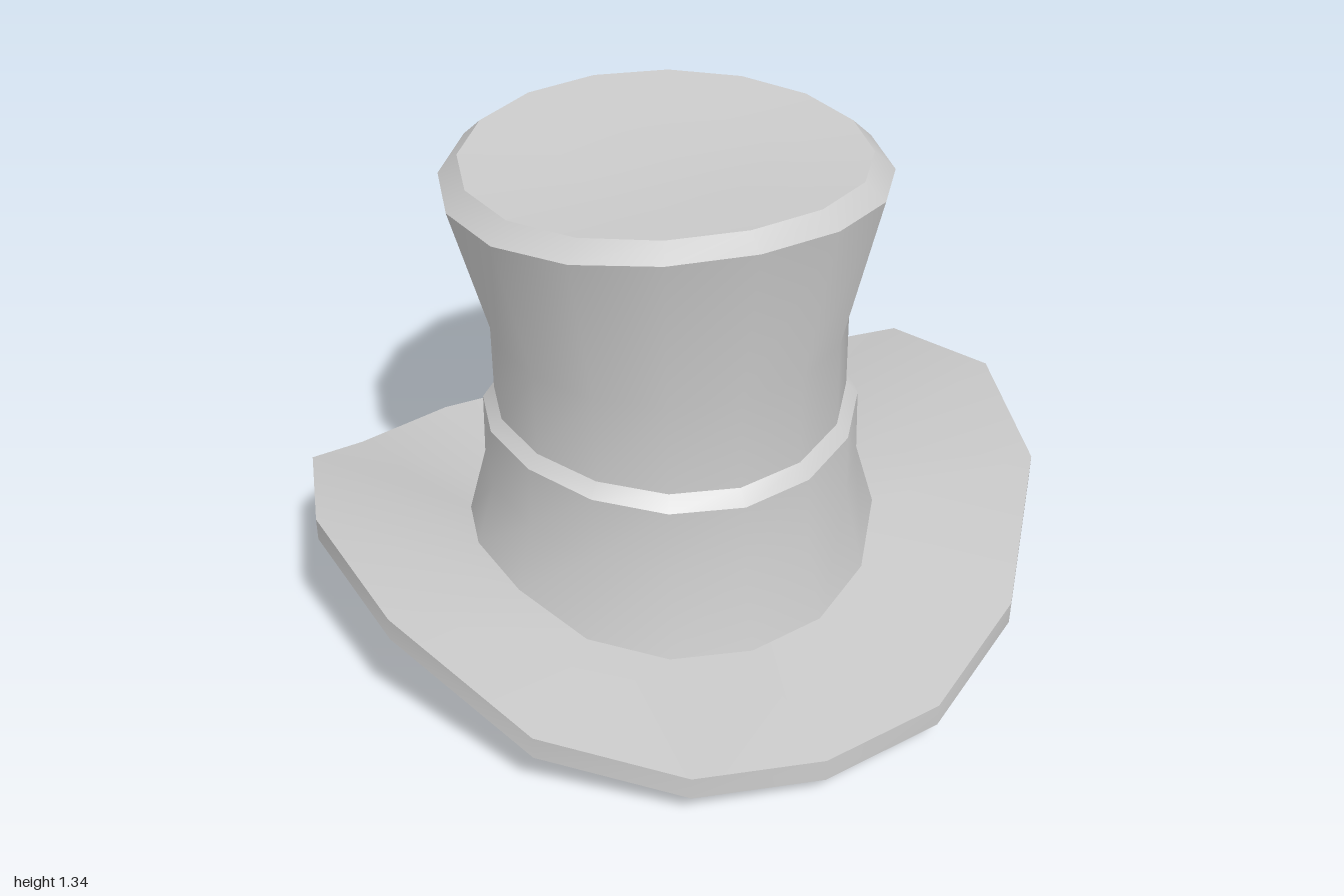
import * as THREE from 'three';
import { toCreasedNormals } from 'three/addons/utils/BufferGeometryUtils.js';

const N = 16; // sides of every ring
const DEPTH = 0.973; // the crown is slightly shallower than wide
const material = new THREE.MeshStandardMaterial({ color: 0xcccccc, side: THREE.DoubleSide });

// Oval ring of half width r, centred on z = cz, its height bending from the sides to front and back
function ring(r, cz, ySide, yFront, yBack) {
  return Array.from({ length: N }, (_, i) => {
    const a = (i / N) * Math.PI * 2, c = Math.cos(a);
    return [r * Math.sin(a), ySide + ((c > 0 ? yFront : yBack) - ySide) * c * c, cz + r * DEPTH * c];
  });
}

// Full ring from half a ring of points, listed front to back along +x
function mirrored(half) {
  const other = half.slice(1, -1).reverse().map(([x, y, z]) => [-x, y, z]);
  return [...half, ...other];
}

const lifted = (points, dy) => points.map(([x, y, z]) => [x, y + dy, z]);
const point = (y, z) => Array.from({ length: N }, () => [0, y, z]);

// Skin a run of rings; the outside is to the right of the profile as it goes up
function skin(name, rings, crease = 0.6) {
  const pos = [];
  const same = (p, q) => p.every((v, k) => Math.abs(v - q[k]) < 1e-6);
  const tri = (a, b, c) => {
    if (!same(a, b) && !same(b, c) && !same(a, c)) pos.push(...a, ...b, ...c);
  };
  for (let j = 0; j < rings.length - 1; j++) {
    for (let i = 0; i < N; i++) {
      const k = (i + 1) % N, lo = rings[j], hi = rings[j + 1];
      tri(lo[i], lo[k], hi[k]);
      tri(lo[i], hi[k], hi[i]);
    }
  }
  const geometry = new THREE.BufferGeometry();
  geometry.setAttribute('position', new THREE.Float32BufferAttribute(pos, 3));
  const mesh = new THREE.Mesh(toCreasedNormals(geometry, crease), material);
  mesh.name = name;
  return mesh;
}

export function createModel() {
  const hat = new THREE.Group();
  hat.name = 'topHat';

  // Brim edge, curled up at the sides
  const edgeTop = mirrored([
    [0, 0.12, 0.993], [0.34, 0.14, 0.943], [0.67, 0.21, 0.733], [0.92, 0.4, 0.393], [1, 0.46, 0],
    [0.92, 0.375, -0.407], [0.71, 0.165, -0.737], [0.39, 0.083, -0.947], [0, 0.065, -0.995],
  ]);
  const edgeBottom = lifted(edgeTop, -0.063);

  // Brim opening and crown foot follow the same curve
  const heights = [0.062, 0.07, 0.105, 0.175, 0.195, 0.16, 0.085, 0.04, 0.032];
  const opening = (rx, rz, dy) => mirrored(heights.map((y, i) => {
    const a = (i / 8) * Math.PI;
    return [rx * Math.sin(a), y + dy, rz * Math.cos(a)];
  }));
  const hole = opening(0.51, 0.5, 0);
  const foot = opening(0.57, 0.555, 0.065);

  // Shallow domed lining, running smoothly into the underside of the brim
  hat.add(skin('brimUnderside', [
    point(0.43, -0.01),
    ring(0.2, -0.01, 0.41, 0.4, 0.39),
    ring(0.36, -0.005, 0.35, 0.3, 0.28),
    hole,
    edgeBottom,
  ], 0.9));
  hat.add(skin('brim', [edgeBottom, edgeTop, foot]));

  // Flared foot and hat band with its bevelled upper edge
  const bandTop = ring(0.482, -0.01, 0.635, 0.59, 0.555);
  hat.add(skin('band', [
    foot,
    ring(0.518, -0.005, 0.43, 0.36, 0.33),
    ring(0.514, -0.008, 0.605, 0.55, 0.52),
    bandTop,
  ]));

  // Crown widening upward to a bevelled, saddle-shaped top
  const topRim = ring(0.535, -0.038, 1.305, 1.34, 1.315);
  hat.add(skin('crown', [
    bandTop,
    ring(0.482, -0.016, 0.86, 0.85, 0.82),
    ring(0.588, -0.032, 1.255, 1.305, 1.275),
    topRim,
  ]));
  hat.add(skin('crownTop', [
    topRim,
    ring(0.27, -0.038, 1.304, 1.313, 1.307),
    point(1.304, -0.038),
  ]));

  return hat;
}
